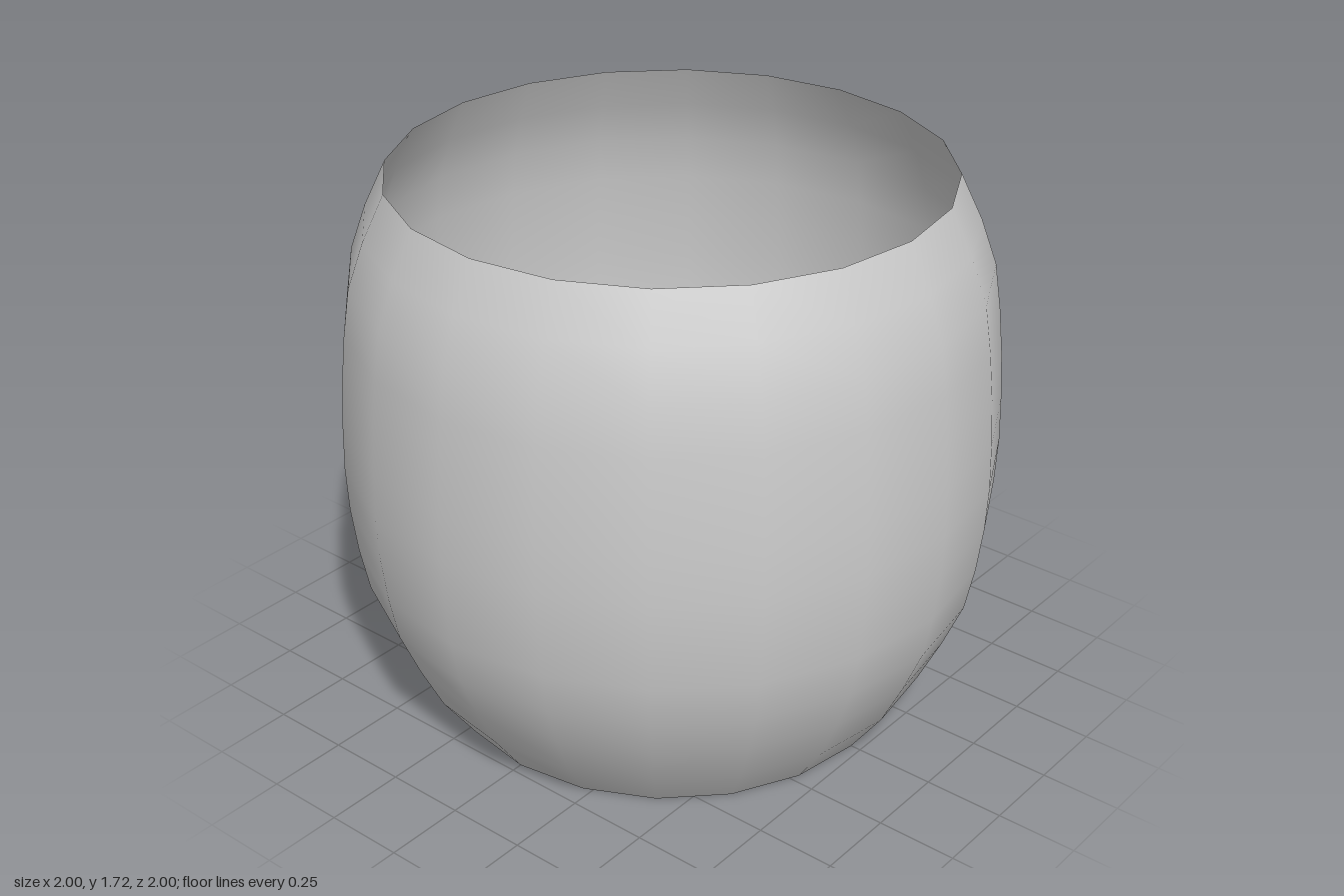
import * as THREE from 'three';

export function createModel() {
  const model = new THREE.Group();
  model.name = 'barrelShell';

  // Wall profile as [radius, height], from the narrow foot to the open rim
  const profile = [
    [0.717, 0], [0.82, 0.145], [0.89, 0.29], [0.95, 0.435], [0.977, 0.575],
    [0.994, 0.72], [1, 0.86], [0.996, 1.005], [0.987, 1.15], [0.972, 1.295],
    [0.95, 1.44], [0.9, 1.58], [0.833, 1.72],
  ].map(([r, y]) => new THREE.Vector2(r, y));

  // Thin smooth wall with twenty sides, open at both ends
  const wall = new THREE.Mesh(
    new THREE.LatheGeometry(profile, 20),
    new THREE.MeshStandardMaterial({ color: 0xcccccc, side: THREE.DoubleSide }),
  );
  wall.name = 'wall';
  model.add(wall);

  return model;
}
